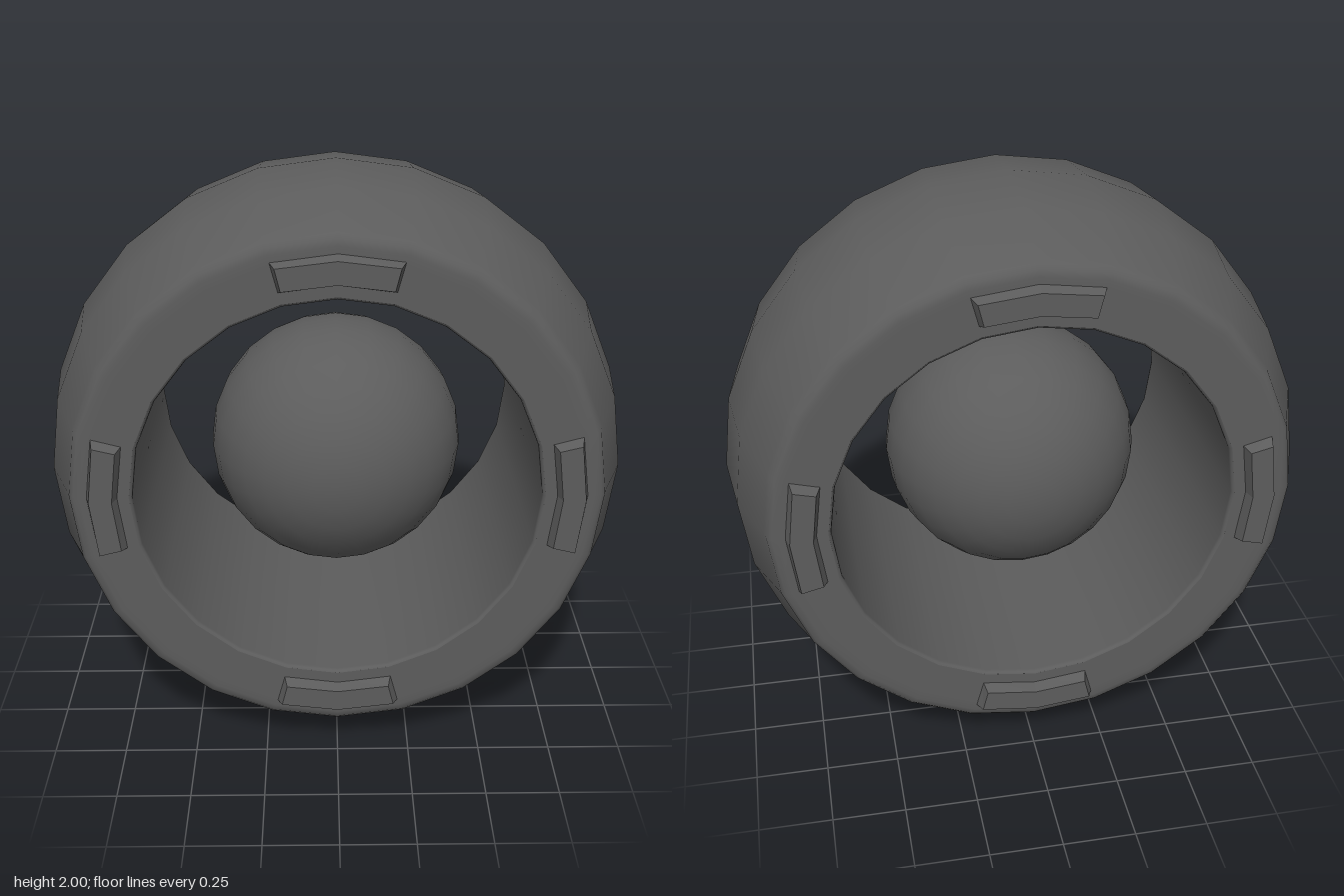
import * as THREE from 'three';

const material = new THREE.MeshStandardMaterial({ color: 0x5c5c5c });
const SIDES = 24;

// Revolve a [radius, z] half profile, mirrored across z = 0, around the z axis
function revolve(half, inward) {
  const pts = [
    ...half.slice().reverse().map(([r, z]) => new THREE.Vector2(r, -z)),
    ...half.slice(1).map(([r, z]) => new THREE.Vector2(r, z)),
  ];
  if (inward) pts.reverse();
  return new THREE.LatheGeometry(pts, SIDES).rotateX(Math.PI / 2);
}

// Bent tapered block lying on the rim: three cross-sections swept over 30 degrees
function blockGeometry() {
  const sections = [-1, 0, 1].map((s) =>
    // [radius, z, half angle in degrees]
    [[0.715, 0.49, 15], [0.82, 0.49, 15], [0.805, 0.54, 13.8], [0.73, 0.54, 13.8]].map(([r, z, deg]) => {
      const a = s * THREE.MathUtils.degToRad(deg);
      return [r * Math.sin(a), r * Math.cos(a), z];
    }));
  const pos = [];
  const quad = (a, b, c, d) => pos.push(...a, ...b, ...c, ...a, ...c, ...d);
  for (let i = 0; i < 2; i++) {
    for (let k = 0; k < 4; k++) {
      const n = (k + 1) % 4;
      quad(sections[i][k], sections[i][n], sections[i + 1][n], sections[i + 1][k]);
    }
  }
  quad(...sections[0].slice().reverse());
  quad(...sections[2]);
  const geo = new THREE.BufferGeometry();
  geo.setAttribute('position', new THREE.Float32BufferAttribute(pos, 3));
  geo.computeVertexNormals();
  return geo;
}

export function createModel() {
  const model = new THREE.Group();
  const add = (geo, name, parent = model) => {
    const mesh = new THREE.Mesh(geo, material);
    mesh.name = name;
    parent.add(mesh);
    return mesh;
  };

  // Outer shell: spherical band with softened edges and flat rims
  add(revolve([
    [1, 0], [0.966, 0.259], [0.884, 0.458], [0.877, 0.48],
    [0.862, 0.495], [0.84, 0.5], [0.81, 0.5], [0.68, 0.5],
  ], false), 'outerShell');

  // Inner wall: straight bore ending in a small rounded lip
  add(revolve([[0.67, 0], [0.67, 0.485], [0.673, 0.496], [0.68, 0.5]], true), 'innerWall');

  // Floating core
  add(new THREE.SphereGeometry(0.442, SIDES, 16).rotateX(Math.PI / 2), 'core');

  // Four raised blocks on each rim
  const block = blockGeometry();
  ['front', 'back'].forEach((side, s) => {
    const group = new THREE.Group();
    group.name = `${side}RimBlocks`;
    group.rotation.y = s * Math.PI;
    for (let i = 0; i < 4; i++) {
      add(block, 'rimBlock', group).rotation.z = i * Math.PI / 2;
    }
    model.add(group);
  });

  model.position.y = 1;
  const root = new THREE.Group();
  root.name = 'ringedSphere';
  model.name = 'body';
  root.add(model);
  return root;
}
